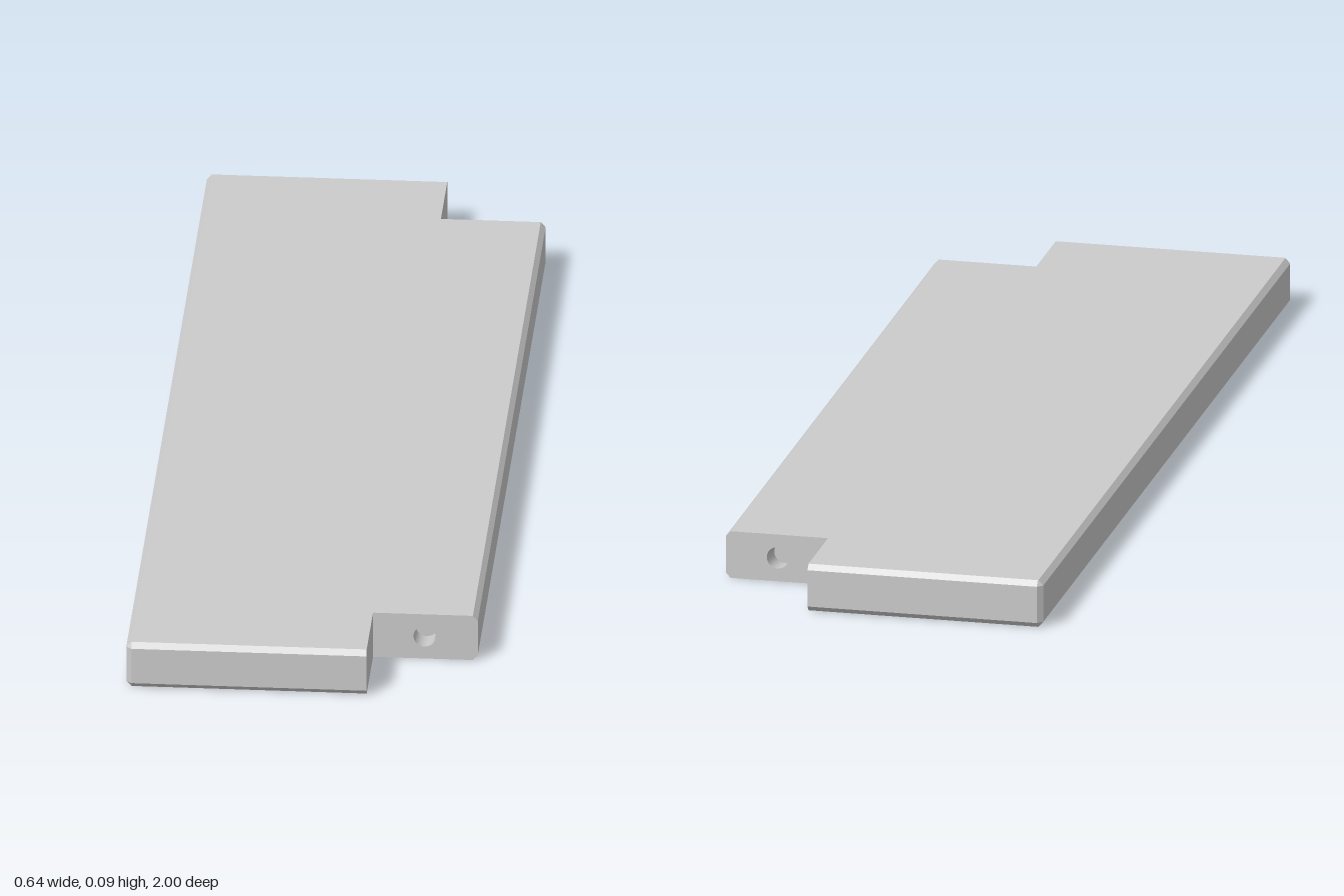
import * as THREE from 'three';
import { mergeGeometries } from 'three/addons/utils/BufferGeometryUtils.js';

const W = 0.318, L = 1, H = 0.09, C = 0.009; // half width, half length, thickness, chamfer
const NX = 0.125, NZ = 0.835;                // inner corner of the notches
const R = 0.0205, HOLE_X = 0.22, PIN_X = -0.195, SLOPE = 0.13;

// plan outline in (x, z), anticlockwise from above; the chamfer insets only the outer edges
const outline = (i) => [
  [-W + 0.01, L - i], [NX, L - i], [NX, NZ], [W - i, NZ], [W - i, -NZ],
  [NX, -NZ], [NX, -L + i], [-W + 0.01, -L + i], [-W + i, -L + 0.01], [-W + i, L - 0.01],
];

// flat face from 2D points, with an optional round hole
function face(points, holeX, holeY) {
  const shape = new THREE.Shape(points.map(([x, y]) => new THREE.Vector2(x, y)));
  if (holeX !== undefined) {
    shape.holes.push(new THREE.Path().absarc(holeX, holeY, R, 0, Math.PI * 2, true));
  }
  const g = new THREE.ShapeGeometry(shape, 16).toNonIndexed();
  g.deleteAttribute('uv');
  return g;
}

// walls and chamfers between stacked outlines, leaving out the two drilled notch faces
function walls() {
  const rings = [[0, C], [0.01, 0], [H - 0.01, 0], [H, C]]
    .map(([y, i]) => outline(i).map(([x, z]) => [x, y, z]));
  const pos = [];
  for (let k = 0; k < 3; k++) {
    for (let j = 0; j < 10; j++) {
      if (j === 2 || j === 4) continue;
      const n = (j + 1) % 10;
      const a = rings[k][j], b = rings[k][n], c = rings[k + 1][n], d = rings[k + 1][j];
      pos.push(...a, ...b, ...c, ...a, ...c, ...d);
    }
  }
  const g = new THREE.BufferGeometry();
  g.setAttribute('position', new THREE.Float32BufferAttribute(pos, 3));
  g.computeVertexNormals();
  return g;
}

// blind hole: mouth at y = 0, running down -y
function socket(depth) {
  const profile = [[R, 0], [R, -depth], [0, -depth]].map(([x, y]) => new THREE.Vector2(x, y));
  return new THREE.LatheGeometry(profile, 32);
}

export function createModel() {
  const group = new THREE.Group();
  const solid = new THREE.MeshStandardMaterial({ color: 0xcccccc, flatShading: true });
  const inner = new THREE.MeshStandardMaterial({ color: 0xcccccc, flatShading: true, side: THREE.DoubleSide });
  const add = (name, geometry, material) => {
    const mesh = new THREE.Mesh(geometry, material);
    mesh.name = name;
    group.add(mesh);
    return mesh;
  };

  // slab: top, underside with pin hole, two drilled notch faces, walls
  const top = face(outline(C).map(([x, z]) => [x, -z])).rotateX(-Math.PI / 2).translate(0, H, 0);
  const bottom = face(outline(C), PIN_X, 0).rotateX(Math.PI / 2);
  const end = [[NX, 0], [W - C, 0], [W, 0.01], [W, H - 0.01], [W - C, H], [NX, H]];
  const frontNotch = face(end, HOLE_X, H / 2).translate(0, 0, NZ);
  const backNotch = face(end.map(([x, y]) => [-x, y]), -HOLE_X, H / 2)
    .rotateY(Math.PI).translate(0, 0, -NZ);
  add('slab', mergeGeometries([walls(), top, bottom, frontNotch, backNotch]), solid);

  // hinge holes in the notches, sloping slightly downwards as they go in
  const shear = new THREE.Matrix4().set(1, 0, 0, 0, 0, 1, SLOPE, 0, 0, 0, 1, 0, 0, 0, 0, 1);
  for (const side of [1, -1]) {
    const g = socket(0.06).rotateX(Math.PI / 2).applyMatrix4(shear);
    if (side < 0) g.rotateY(Math.PI);
    add(side > 0 ? 'frontHingeHole' : 'backHingeHole', g, inner)
      .position.set(HOLE_X, H / 2, side * NZ);
  }

  // pin hole in the underside
  const pin = add('undersidePinHole', socket(0.06).rotateX(Math.PI), inner);
  pin.position.set(PIN_X, 0, 0);
  return group;
}
